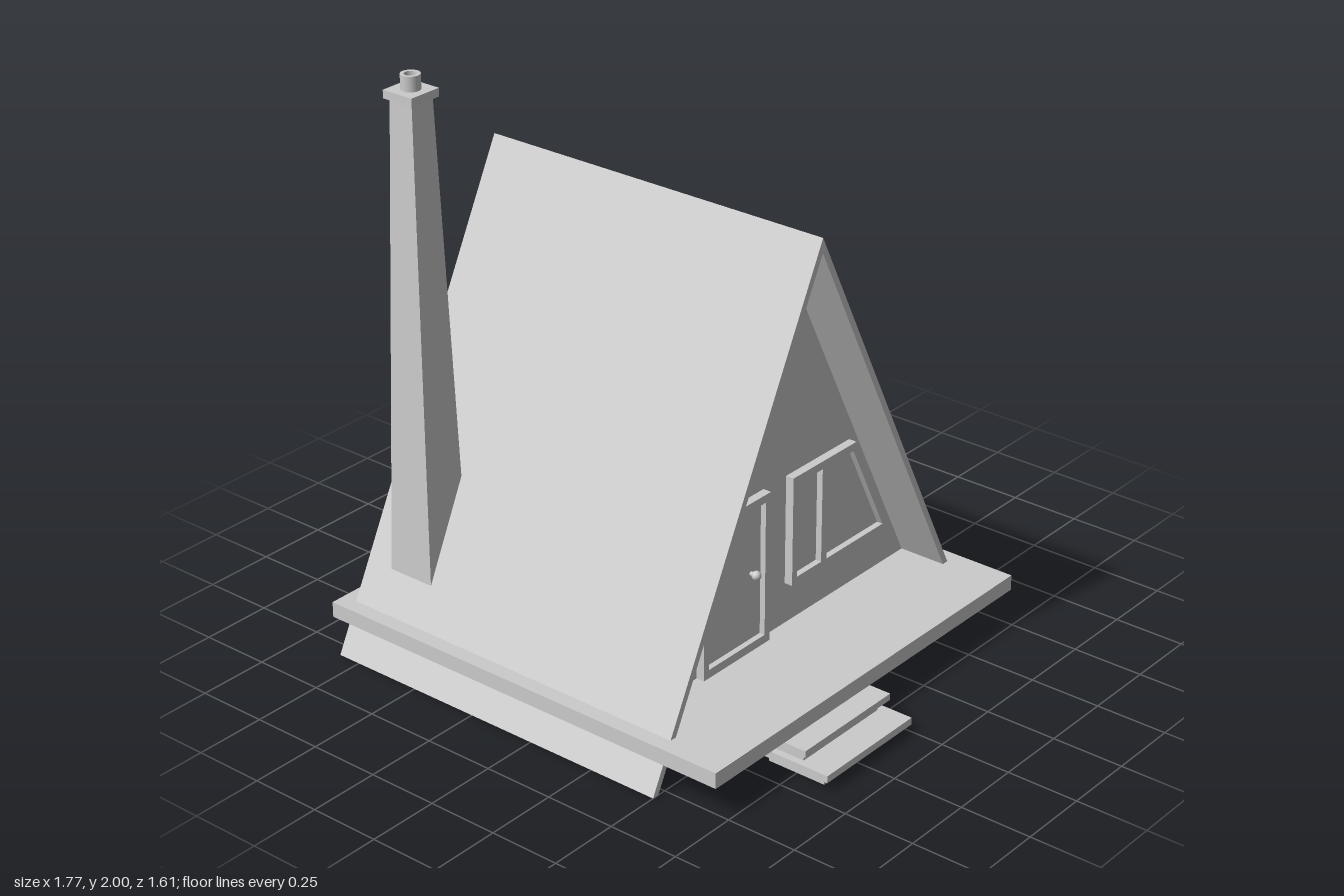
import * as THREE from 'three';

const material = new THREE.MeshStandardMaterial({ color: 0xcccccc, flatShading: true });
const smooth = new THREE.MeshStandardMaterial({ color: 0xcccccc });

export function createModel() {
  const model = new THREE.Group();

  const add = (name, geometry, mat = material) => {
    const mesh = new THREE.Mesh(geometry, mat);
    mesh.name = name;
    model.add(mesh);
    return mesh;
  };

  // Box given by its limits on each axis
  const box = (name, x0, x1, y0, y1, z0, z1) =>
    add(name, new THREE.BoxGeometry(x1 - x0, y1 - y0, z1 - z0))
      .position.set((x0 + x1) / 2, (y0 + y1) / 2, (z0 + z1) / 2);

  // Outline in (-z, y), extruded along x from x0 to x1
  const path = (pts) => pts.map(([u, y]) => new THREE.Vector2(u, y));
  const panel = (name, pts, x0, x1, holes = []) => {
    const shape = new THREE.Shape(path(pts));
    holes.forEach((h) => shape.holes.push(new THREE.Path(path(h))));
    const g = new THREE.ExtrudeGeometry(shape, { depth: x1 - x0, bevelEnabled: false });
    g.rotateY(Math.PI / 2).translate(x0, 0, 0);
    return add(name, g);
  };

  // Steep roof reaching to the ground
  panel('roof', [[-0.805, 0], [-0.78, 0], [0, 1.533], [0.78, 0], [0.805, 0], [0, 1.583]], -0.835, 0.5);

  // Gable walls
  const gable = [[-0.78, 0], [0.78, 0], [0, 1.533]];
  panel('frontGable', gable, 0.3, 0.33);
  panel('backGable', gable, -0.8, -0.77);

  // Deck and entrance steps
  box('deck', -0.89, 0.72, 0.11, 0.165, -0.778, 0.775);
  box('upperTread', 0.64, 0.8, 0.087, 0.11, 0.005, 0.44);
  box('upperRiser', 0.64, 0.775, 0.055, 0.087, 0.035, 0.415);
  box('lowerTread', 0.64, 0.885, 0.03, 0.055, 0.005, 0.44);
  box('lowerRiser', 0.64, 0.855, 0, 0.03, 0.035, 0.415);

  // Door with frame and knob
  panel('doorFrame', [[-0.39, 0.165], [-0.06, 0.165], [-0.06, 0.7], [-0.39, 0.7]], 0.33, 0.36,
    [[[-0.365, 0.195], [-0.365, 0.672], [-0.085, 0.672], [-0.085, 0.195]]]);
  box('door', 0.33, 0.34, 0.19, 0.68, 0.08, 0.37);
  add('doorKnob', new THREE.SphereGeometry(0.016, 16, 12), smooth).position.set(0.362, 0.432, 0.132);
  const stem = add('knobStem', new THREE.CylinderGeometry(0.008, 0.008, 0.02, 12), smooth);
  stem.rotation.z = Math.PI / 2;
  stem.position.set(0.348, 0.432, 0.132);

  // Slanted front window
  const frontOutline = [[0.055, 0.312], [0.58, 0.312], [0.385, 0.7], [0.055, 0.7]];
  panel('frontWindowFrame', frontOutline, 0.33, 0.36, [
    [[0.08, 0.335], [0.08, 0.672], [0.207, 0.672], [0.207, 0.335]],
    [[0.235, 0.335], [0.235, 0.672], [0.37, 0.672], [0.54, 0.335]],
  ]);
  panel('frontWindowGlass', [[0.07, 0.325], [0.555, 0.325], [0.375, 0.685], [0.07, 0.685]], 0.33, 0.338);

  // Triangular back window
  const triangle = (half, y0, y1) => [[-half, y0], [half, y0], [0, y1]];
  panel('backWindowFrame', triangle(0.185, 1.02, 1.385), -0.825, -0.8, [triangle(0.14, 1.045, 1.325)]);
  panel('backWindowGlass', triangle(0.155, 1.035, 1.35), -0.808, -0.8);

  // Tapered chimney through the roof, with cap and hollow pipe
  const cx = -0.643, cz = 0.568;
  const stack = new THREE.CylinderGeometry(0.046 * Math.SQRT2, 0.095 * Math.SQRT2, 1.925, 4);
  stack.rotateY(Math.PI / 4);
  add('chimneyStack', stack).position.set(cx, 0.9625, cz);
  box('chimneyCap', cx - 0.06, cx + 0.06, 1.922, 1.95, cz - 0.06, cz + 0.06);
  const ring = new THREE.Shape().absarc(0, 0, 0.032, 0, Math.PI * 2);
  ring.holes.push(new THREE.Path().absarc(0, 0, 0.02, 0, Math.PI * 2, true));
  const pipe = new THREE.ExtrudeGeometry(ring, { depth: 0.05, bevelEnabled: false, curveSegments: 24 });
  pipe.rotateX(-Math.PI / 2);
  add('chimneyPipe', pipe, smooth).position.set(cx, 1.95, cz);

  return model;
}
